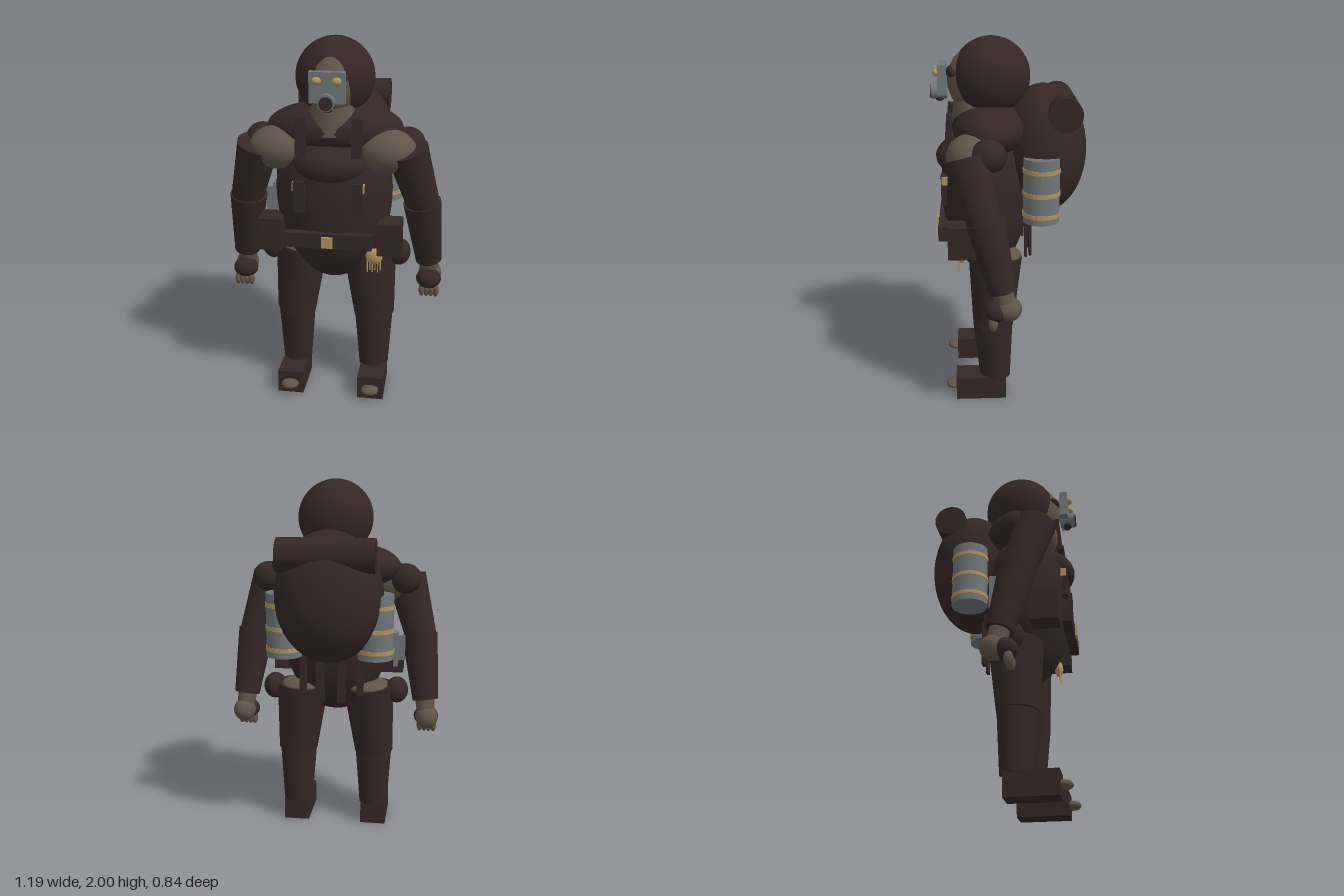
import * as THREE from 'three';

const mat = (name, color) => Object.assign(new THREE.MeshStandardMaterial({ color }), { name });

export function createModel() {
  const model = new THREE.Group();
  model.name = 'maskedTraveller';
  const cloth = mat('dark brown cloth', 0x342727);
  const skin = mat('taupe skin', 0x5f5448);
  const metal = mat('grey metal', 0x6f7679);
  const brass = mat('brass', 0xb0935a);

  // Helpers
  const add = (name, geo, m, pos = [0, 0, 0], parent = model) => {
    const mesh = new THREE.Mesh(geo, m);
    mesh.name = name;
    mesh.position.set(...pos);
    parent.add(mesh);
    return mesh;
  };
  const box = (name, m, pos, size) => add(name, new THREE.BoxGeometry(...size), m, pos);
  const ball = (name, m, pos, radii, seg = 28) => {
    const r = Array.isArray(radii) ? radii : [radii, radii, radii];
    return add(name, new THREE.SphereGeometry(1, seg, Math.round(seg * 0.7)).scale(...r), m, pos);
  };
  // Tapered cylinder running from point a to point b
  const limb = (name, m, a, b, ra, rb, seg = 20) => {
    const va = new THREE.Vector3(...a), vb = new THREE.Vector3(...b);
    const dir = vb.clone().sub(va);
    const mesh = add(name, new THREE.CylinderGeometry(rb, ra, dir.length(), seg), m);
    mesh.position.copy(va).addScaledVector(dir, 0.5);
    mesh.quaternion.setFromUnitVectors(new THREE.Vector3(0, 1, 0), dir.normalize());
    return mesh;
  };

  // Head: hood, face, neck
  ball('hood', cloth, [0, 1.792, 0.095], 0.208, 36);
  ball('face', skin, [0, 1.77, 0.18], [0.13, 0.175, 0.15]);
  limb('neck', skin, [0, 1.54, 0.17], [0, 1.72, 0.2], 0.145, 0.095, 24);
  ball('maskPadding', cloth, [0, 1.815, 0.29], [0.09, 0.037, 0.045]);

  // Breathing mask
  box('maskPlate', metal, [0, 1.783, 0.355], [0.18, 0.155, 0.045]);
  for (const s of [-1, 1]) ball('maskLens', brass, [s * 0.05, 1.818, 0.385], [0.025, 0.02, 0.02], 16);
  limb('mouthTube', metal, [0, 1.715, 0.33], [0, 1.715, 0.415], 0.043, 0.043);
  limb('mouthFilter', cloth, [0, 1.712, 0.41], [0, 1.712, 0.42], 0.035, 0.035);
  ball('chinValve', cloth, [0, 1.677, 0.37], [0.028, 0.018, 0.025], 16);

  // Torso
  const profile = [[0, 0.69], [0.08, 0.70], [0.16, 0.76], [0.23, 0.85], [0.285, 0.97], [0.31, 1.1],
    [0.315, 1.22], [0.3, 1.34], [0.24, 1.45], [0, 1.52]].map(p => new THREE.Vector2(...p));
  add('torso', new THREE.LatheGeometry(new THREE.SplineCurve(profile).getPoints(30), 36).scale(1, 1, 0.77), cloth, [0, 0, 0.13]);
  ball('shoulderCape', cloth, [0, 1.525, 0.1], [0.365, 0.14, 0.21], 36);
  ball('chestBib', cloth, [0, 1.36, 0.2], [0.22, 0.118, 0.2]);

  // Belt and buckle
  box('belt', cloth, [0, 0.98, 0.365], [0.465, 0.08, 0.05]);
  box('beltBuckle', brass, [0, 0.977, 0.38], [0.06, 0.06, 0.045]);

  // Paired parts
  for (const s of [-1, 1]) {
    const p = (x, y, z) => [s * x, y, z];

    // Shoulder and arm
    ball('pectoral', skin, p(0.29, 1.43, 0.2), [0.155, 0.115, 0.135]);
    ball('shoulderPad', cloth, p(0.39, 1.455, 0.12), [0.09, 0.085, 0.095]);
    limb('upperArm', cloth, p(0.39, 1.45, 0.225), p(0.485, 1.12, 0.14), 0.112, 0.088);
    limb('forearm', cloth, p(0.475, 1.14, 0.14), p(0.52, 0.775, 0.055), 0.102, 0.072);
    limb('wrist', skin, p(0.515, 0.8, 0.06), p(0.525, 0.7, 0.035), 0.056, 0.05);
    ball('fist', skin, p(0.53, 0.68, 0.025), [0.064, 0.066, 0.07], 20);
    ball('glovePad', cloth, p(0.525, 0.67, 0.085), [0.07, 0.057, 0.065], 20);
    for (let i = 0; i < 4; i++) {
      ball('finger', skin, p(0.49 + i * 0.026, 0.607, 0.105), [0.017, 0.038, 0.024], 12);
    }

    // Leg and shoe
    ball('hip', skin, p(0.185, 0.84, 0.08), [0.13, 0.04, 0.14], 20);
    const thigh = limb('thigh', cloth, p(0.19, 0.84, 0.085), p(0.225, 0.445, 0.1), 0.14, 0.106);
    thigh.scale.z = 1.1;
    const shin = limb('shin', cloth, p(0.222, 0.45, 0.1), p(0.225, 0.12, 0.09), 0.103, 0.08);
    shin.scale.z = 1.1;
    box('shoe', cloth, p(0.228, 0.066, 0.17), [0.145, 0.132, 0.28]);
    ball('bigToe', skin, p(0.228, 0.065, 0.325), [0.05, 0.025, 0.045], 16);

    // Pouches
    box('beltPouch', cloth, p(0.318, 0.98, 0.26), [0.126, 0.175, 0.15]);
    ball('hipPouch', cloth, p(0.355, 0.82, 0.08), [0.065, 0.075, 0.075], 20);

    // Harness straps
    const upper = box('upperStrap', cloth, p(0.145, 1.52, 0.325), [0.055, 0.2, 0.03]);
    upper.rotation.x = -0.08;
    box('lowerStrap', cloth, p(0.15, 1.21, 0.355), [0.06, 0.165, 0.03]);
    box('strapBuckle', brass, p(0.178, 1.265, 0.35), [0.02, 0.045, 0.03]);

    // Canister with brass bands
    limb('canister', metal, p(0.25, 1.06, -0.16), p(0.25, 1.41, -0.16), 0.097, 0.097, 24);
    for (const y of [1.105, 1.22, 1.345]) {
      limb('canisterBand', brass, p(0.25, y - 0.011, -0.16), p(0.25, y + 0.011, -0.16), 0.101, 0.101, 24);
    }

    // Hanging strips at the back
    box('backStrip', cloth, p(0.06, 0.915, -0.115), [0.05, 0.25, 0.015]);
    box('sideStrip', cloth, p(0.16, 0.93, -0.085), [0.04, 0.22, 0.015]);
  }

  // Backpack and bedroll
  ball('backpack', cloth, [0, 1.393, -0.185], [0.295, 0.355, 0.237], 36);
  limb('bedroll', cloth, [-0.257, 1.625, -0.282], [0.257, 1.625, -0.282], 0.09, 0.09, 28);

  // Radio on the right hip
  box('radio', metal, [-0.35, 1.08, 0.005], [0.025, 0.19, 0.075]);
  box('radioClip', metal, [-0.38, 1.08, 0.03], [0.04, 0.14, 0.02]);

  // Brass tassel on the left thigh
  ball('tasselKnob', brass, [0.235, 0.862, 0.27], [0.046, 0.045, 0.025], 18);
  for (let i = 0; i < 6; i++) {
    const x = 0.2 + i * 0.014;
    limb('tasselThread', brass, [x, 0.775 + (i % 2) * 0.012, 0.28], [x, 0.86, 0.28], 0.004, 0.004, 6);
  }
  return model;
}
